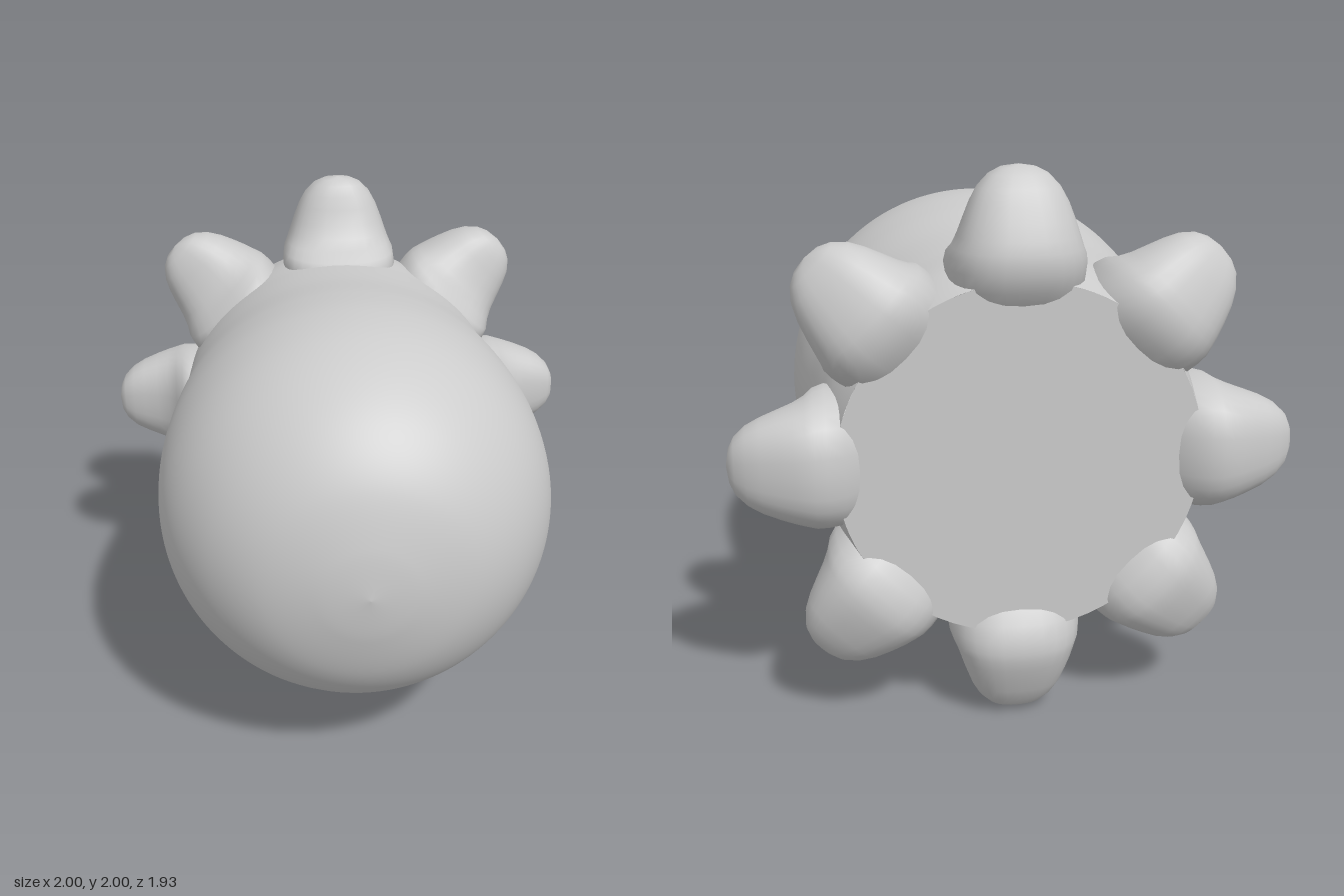
import * as THREE from 'three';

const material = new THREE.MeshStandardMaterial({ color: 0xcccccc });
const { smoothstep, degToRad } = THREE.MathUtils;

// Skin a list of closed rings, each an array of Vector3
function loft(rings) {
  const n = rings[0].length;
  const index = [];
  for (let i = 0; i < rings.length - 1; i++) {
    for (let j = 0; j < n; j++) {
      const k = (j + 1) % n;
      const a = i * n + j, b = i * n + k, c = a + n, d = b + n;
      index.push(a, c, b, b, c, d);
    }
  }
  const geometry = new THREE.BufferGeometry().setFromPoints(rings.flat());
  geometry.setIndex(index);
  geometry.computeVertexNormals();
  return geometry;
}

function ring(count, pointAt) {
  return Array.from({ length: count }, (_, j) => pointAt((j / count) * Math.PI * 2));
}

function addMesh(parent, name, geometry) {
  const mesh = new THREE.Mesh(geometry, material);
  mesh.name = name;
  parent.add(mesh);
  return mesh;
}

// Depth of the oval mouth groove, set off-centre on the underside
function grooveDepth(angle, z) {
  const a = angle > Math.PI ? angle - 2 * Math.PI : angle;
  const d = Math.hypot((a + degToRad(11)) / degToRad(42), (z - 0.27) / 0.45);
  return 0.08 * smoothstep(d, 0.75, 0.85) * (1 - smoothstep(d, 0.96, 1.0));
}

// Rounded head narrowing to a neck: [z, radius]
function bodyGeometry() {
  const profile = new THREE.SplineCurve([
    [0.965, 0], [0.94, 0.19], [0.87, 0.4], [0.75, 0.56], [0.59, 0.675],
    [0.41, 0.742], [0.2, 0.765], [-0.02, 0.752], [-0.28, 0.715],
    [-0.5, 0.695], [-0.7, 0.68], [-0.9, 0.635],
  ].map(([z, r]) => new THREE.Vector2(z, r)));
  return loft(profile.getSpacedPoints(160).map(({ x: z, y }) => ring(180, (a) => {
    const r = Math.max(0, y - grooveDepth(a, z));
    return new THREE.Vector3(r * Math.sin(a), -r * Math.cos(a), z);
  })));
}

// Blunt arm pointing up: [distance from axis, front z, back z, half width]
function armGeometry() {
  const sections = [
    [0.54, -0.5, -0.89, 0.22], [0.6, -0.47, -0.94, 0.235], [0.66, -0.46, -0.96, 0.24],
    [0.7, -0.5, -0.963, 0.235], [0.73, -0.56, -0.96, 0.22], [0.77, -0.605, -0.95, 0.205],
    [0.82, -0.635, -0.93, 0.188], [0.88, -0.66, -0.905, 0.165], [0.93, -0.677, -0.877, 0.138],
    [0.97, -0.7, -0.845, 0.1], [0.99, -0.72, -0.815, 0.06], [1, -0.765, -0.765, 0],
  ];
  const round = (v) => Math.sign(v) * Math.abs(v) ** 0.8;
  return loft(sections.map(([y, front, back, half]) => ring(28, (t) => new THREE.Vector3(
    half * round(Math.cos(t)),
    y,
    (front + back) / 2 + ((front - back) / 2) * round(Math.sin(t)),
  ))));
}

export function createModel() {
  const model = new THREE.Group();
  model.name = 'roundCreature';

  // Everything is arranged around the z axis, then lifted to the ground
  const figure = new THREE.Group();
  figure.name = 'figure';
  figure.position.y = 1;
  model.add(figure);

  addMesh(figure, 'body', bodyGeometry());

  // Flat underside closing the neck
  const base = addMesh(figure, 'base', new THREE.CircleGeometry(0.635, 64));
  base.rotation.y = Math.PI;
  base.position.z = -0.9;

  // Eight arms around the neck
  const arm = armGeometry();
  for (let i = 0; i < 8; i++) {
    addMesh(figure, `arm${i + 1}`, arm).rotation.z = (i * Math.PI) / 4;
  }
  return model;
}
